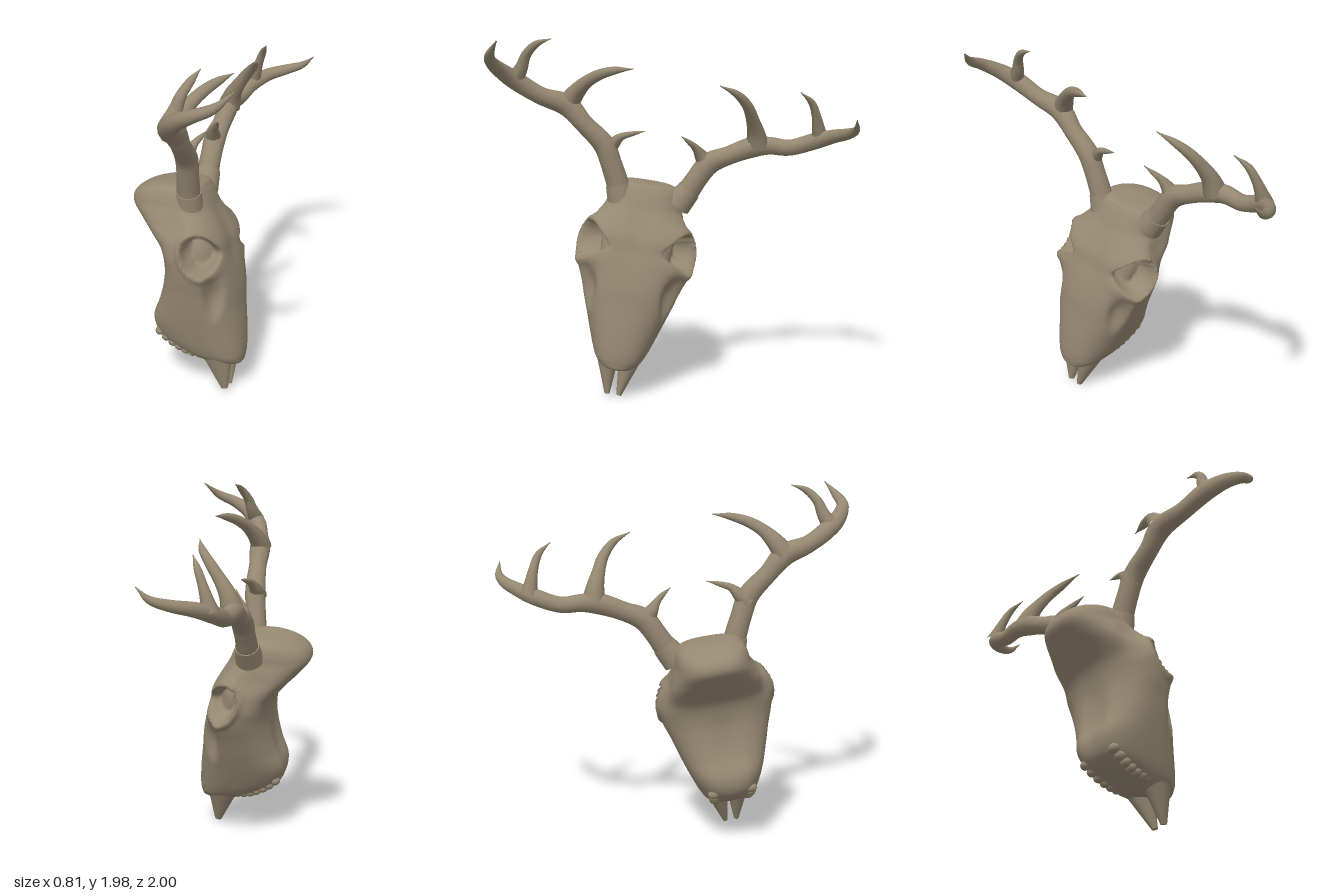
import * as THREE from 'three';

const bone = new THREE.MeshStandardMaterial({ color: 0x958871 });
bone.name = 'bone';

function add(parent, geometry, name) {
  const mesh = new THREE.Mesh(geometry, bone);
  mesh.name = name;
  parent.add(mesh);
  return mesh;
}

// Smooth interpolation through rows of numbers, f is a fractional row index
function sampleRows(rows, f) {
  const i = Math.min(Math.floor(f), rows.length - 2), t = f - i;
  const at = k => rows[Math.max(0, Math.min(rows.length - 1, k))];
  return rows[0].map((_, c) => {
    const a = at(i - 1)[c], b = at(i)[c], d = at(i + 1)[c], e = at(i + 2)[c];
    const m0 = (d - a) / 2, m1 = (e - b) / 2, t2 = t * t, t3 = t2 * t;
    return (2 * t3 - 3 * t2 + 1) * b + (t3 - 2 * t2 + t) * m0 + (3 * t2 - 2 * t3) * d + (t3 - t2) * m1;
  });
}

// Tapered curved horn; each point is [x, y, z, radius]
function horn(points, segments) {
  const curve = new THREE.CatmullRomCurve3(points.map(p => new THREE.Vector3(p[0], p[1], p[2])));
  const sides = 12;
  const geo = new THREE.TubeGeometry(curve, segments, 1, sides);
  const pos = geo.attributes.position, v = new THREE.Vector3();
  for (let i = 0; i <= segments; i++) {
    const t = curve.getUtoTmapping(i / segments);
    const r = Math.max(0.002, sampleRows(points, t * (points.length - 1))[3]);
    const centre = curve.getPoint(t);
    for (let j = 0; j <= sides; j++) {
      const k = i * (sides + 1) + j;
      v.fromBufferAttribute(pos, k).sub(centre).multiplyScalar(r).add(centre);
      pos.setXYZ(k, v.x, v.y, v.z);
    }
  }
  return geo;
}

// Skull cross-sections: height, half width, front x, widest x, back x
const SECTIONS = [
  [0.15, 0, 0.16, 0.16, 0.16],
  [0.155, 0.075, 0.245, 0.14, 0.05],
  [0.19, 0.125, 0.262, 0.12, -0.06],
  [0.24, 0.155, 0.266, 0.08, -0.17],
  [0.30, 0.18, 0.262, 0.05, -0.24],
  [0.39, 0.213, 0.252, 0.02, -0.26],
  [0.50, 0.25, 0.234, 0.02, -0.22],
  [0.60, 0.28, 0.22, 0.03, -0.195],
  [0.70, 0.315, 0.195, 0.05, -0.185],
  [0.80, 0.33, 0.165, 0.04, -0.205],
  [0.88, 0.318, 0.145, 0.02, -0.265],
  [0.96, 0.26, 0.10, -0.03, -0.35],
  [1.03, 0.215, 0.055, -0.10, -0.408],
  [1.09, 0.20, 0.025, -0.12, -0.395],
  [1.135, 0.18, 0.00, -0.12, -0.33],
  [1.162, 0.13, -0.03, -0.12, -0.23],
  [1.167, 0, -0.12, -0.12, -0.12],
];

function skullGeometry() {
  const rows = 120, cols = 112, pos = [], index = [];
  const bell = d => (Math.abs(d) < 1 ? (1 - d * d) ** 2 : 0);
  for (let r = 0; r <= rows; r++) {
    const [u, hw, xf, xm, xb] = sampleRows(SECTIONS, (r / rows) * (SECTIONS.length - 1));
    for (let c = 0; c < cols; c++) {
      const a = (c / cols) * Math.PI * 2, co = Math.cos(a), si = Math.sin(a);
      const e = co > 0 ? 0.85 : 0.75;
      let x = xm + (co > 0 ? xf - xm : xm - xb) * Math.sign(co) * Math.abs(co) ** e;
      let z = hw * Math.sign(si) * Math.abs(si) ** e;
      const side = Math.sign(z);
      if (Math.abs(z) > 0.1) {
        // eye sockets: slanted oval hollow with a raised rim
        const dx = x - 0.065, du = u - 0.825;
        const d = Math.hypot((dx * 0.85 + du * 0.5) / 0.085, (du * 0.85 - dx * 0.5) / 0.115);
        const hollow = THREE.MathUtils.smoothstep(1 - d, 0, 0.4);
        z += side * (0.014 * bell((d - 1.12) / 0.3) - 0.13 * hollow);
        x -= 0.035 * hollow;
        // long pit between the nose bridge and the cheek, below each eye
        const pit = bell(Math.hypot((x - 0.14) / 0.06, (u - 0.6) / 0.18));
        z -= side * 0.045 * pit;
        x -= 0.015 * pit;
        // temple behind each eye
        z -= side * 0.03 * bell(Math.hypot((x + 0.12) / 0.12, (u - 0.9) / 0.14));
      }
      // shallow dip along the middle of the brow and the back
      if (co > 0) x -= 0.012 * bell(z / 0.1) * bell((u - 0.9) / 0.2);
      else x += 0.02 * bell(z / 0.12) * bell((u - 0.5) / 0.3);
      pos.push(x, u, z);
      if (r < rows) {
        const p = r * cols + c, q = r * cols + (c + 1) % cols;
        index.push(p, p + cols, q, q, p + cols, q + cols);
      }
    }
  }
  const geo = new THREE.BufferGeometry();
  geo.setAttribute('position', new THREE.Float32BufferAttribute(pos, 3));
  geo.setIndex(index);
  geo.computeVertexNormals();
  return geo;
}

// Main beams and tines, [x, y, z, radius]
const LEFT = {
  beam: [[-0.06, 1.04, 0.29, 0.07], [-0.055, 1.16, 0.315, 0.064], [-0.045, 1.28, 0.35, 0.06],
    [-0.035, 1.39, 0.39, 0.06], [-0.025, 1.51, 0.50, 0.053], [-0.02, 1.61, 0.59, 0.062],
    [0.01, 1.665, 0.73, 0.05], [0.06, 1.75, 0.86, 0.052], [0.13, 1.81, 0.93, 0.043],
    [0.22, 1.86, 0.965, 0.033], [0.32, 1.905, 0.95, 0.024], [0.40, 1.975, 0.90, 0.003]],
  browTine: [[-0.05, 1.35, 0.385, 0.055], [-0.045, 1.395, 0.34, 0.038], [-0.03, 1.435, 0.295, 0.022], [-0.015, 1.455, 0.23, 0.014], [0, 1.47, 0.16, 0.002]],
  longTine: [[-0.03, 1.61, 0.59, 0.062], [-0.01, 1.675, 0.545, 0.05], [0.03, 1.74, 0.48, 0.036],
    [0.075, 1.785, 0.40, 0.03], [0.12, 1.81, 0.31, 0.021], [0.16, 1.82, 0.21, 0.002]],
  upperTine: [[0.06, 1.75, 0.87, 0.05], [0.08, 1.82, 0.825, 0.036], [0.10, 1.89, 0.795, 0.027],
    [0.13, 1.95, 0.735, 0.019], [0.145, 1.98, 0.65, 0.002]],
};
const RIGHT = {
  beam: [[-0.09, 1.04, -0.01, 0.07], [-0.09, 1.12, -0.075, 0.064], [-0.09, 1.20, -0.13, 0.06],
    [-0.09, 1.28, -0.195, 0.062], [-0.09, 1.325, -0.30, 0.053], [-0.10, 1.37, -0.43, 0.058],
    [-0.11, 1.38, -0.53, 0.05], [-0.10, 1.37, -0.64, 0.045], [-0.07, 1.41, -0.78, 0.046],
    [0.0, 1.445, -0.88, 0.038], [0.10, 1.47, -0.95, 0.03], [0.19, 1.50, -0.98, 0.02], [0.26, 1.56, -0.975, 0.002]],
  browTine: [[-0.09, 1.27, -0.185, 0.055], [-0.085, 1.325, -0.15, 0.038], [-0.065, 1.37, -0.12, 0.022], [-0.04, 1.405, -0.085, 0.014], [-0.02, 1.44, -0.04, 0.002]],
  longTine: [[-0.10, 1.38, -0.465, 0.066], [-0.075, 1.455, -0.455, 0.05], [-0.03, 1.53, -0.435, 0.037],
    [0.03, 1.61, -0.405, 0.03], [0.09, 1.68, -0.345, 0.021], [0.13, 1.73, -0.25, 0.002]],
  upperTine: [[-0.07, 1.415, -0.81, 0.05], [-0.05, 1.48, -0.80, 0.036], [-0.025, 1.55, -0.785, 0.026], [0.01, 1.63, -0.755, 0.019], [0.05, 1.69, -0.69, 0.002]],
};

export function createModel() {
  const model = new THREE.Group();
  model.name = 'antleredSkull';

  // Skull leans to one side
  const head = new THREE.Group();
  head.name = 'head';
  head.position.set(0, 0.02, 0.335);
  head.rotation.x = -THREE.MathUtils.degToRad(9);
  model.add(head);
  add(head, skullGeometry(), 'skull');

  for (const s of [1, -1]) {
    // Snout prongs, broad at the root and pointed
    const prong = new THREE.CylinderGeometry(0.1, 0.02, 0.25, 20, 4);
    prong.scale(1, 1, 0.72);
    const snout = add(head, prong, 'snoutProng');
    snout.position.set(0.145, 0.115, s * 0.05);
    snout.rotation.set(s * 0.14, 0, 0.2);

    // Row of worn molars along the slanted lower edge
    for (let i = 0; i < 7; i++) {
      const t = i / 6;
      const tooth = add(head, new THREE.SphereGeometry(0.027, 10, 8), 'molar');
      tooth.position.set(0.03 - 0.23 * t, 0.2 + 0.10 * t * t, s * (0.085 + 0.02 * t));
      tooth.scale.set(1.1, 1, 1.3);
    }
  }

  // Antlers with a collar where each meets the skull
  for (const [name, parts] of [['leftAntler', LEFT], ['rightAntler', RIGHT]]) {
    const antler = new THREE.Group();
    antler.name = name;
    for (const [part, points] of Object.entries(parts)) add(antler, horn(points, part === 'beam' ? 60 : 24), part);
    const [a, b] = parts.beam.map(p => new THREE.Vector3(p[0], p[1], p[2]));
    const collar = add(antler, new THREE.CylinderGeometry(0.068, 0.08, 0.11, 20), 'collar');
    collar.position.copy(a).lerp(b, 0.6);
    collar.quaternion.setFromUnitVectors(new THREE.Vector3(0, 1, 0), b.clone().sub(a).normalize());
    model.add(antler);
  }
  return model;
}
